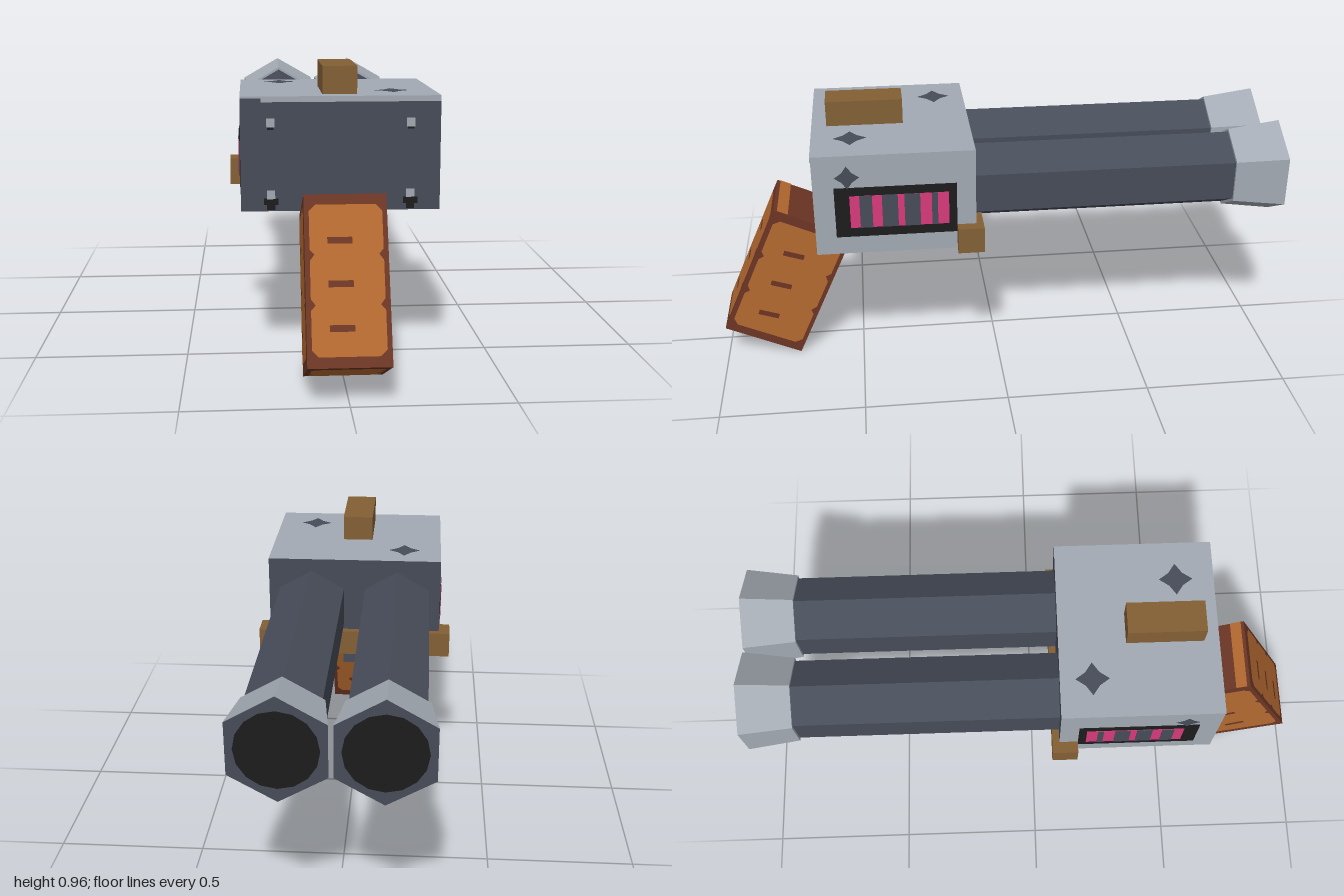
import * as THREE from 'three';

const mat = (name, color) => Object.assign(new THREE.MeshStandardMaterial({ color }), { name });
const M = {
  steel: mat('light steel', 0xa3aab3),
  slate: mat('slate', 0x474c59),
  black: mat('black', 0x1c1c1c),
  pink: mat('glowing pink', 0xd83a7c),
  orange: mat('orange wood', 0xb56a30),
  brown: mat('brown wood', 0x6d3625),
  brass: mat('brass', 0x836035),
};

function add(parent, name, geometry, material) {
  const mesh = new THREE.Mesh(geometry, material);
  mesh.name = name;
  parent.add(mesh);
  return mesh;
}

// Box given by its limits on each axis
function box(parent, name, [x0, x1], [y0, y1], [z0, z1], material) {
  const mesh = add(parent, name, new THREE.BoxGeometry(x1 - x0, y1 - y0, z1 - z0), material);
  mesh.position.set((x0 + x1) / 2, (y0 + y1) / 2, (z0 + z1) / 2);
  return mesh;
}

// Hexagonal tube along z with flat faces
function hexTube(rFront, rBack, z0, z1) {
  const g = new THREE.CylinderGeometry(rFront, rBack, z1 - z0, 6).toNonIndexed();
  g.computeVertexNormals();
  return g.rotateX(Math.PI / 2).translate(0, 0, (z0 + z1) / 2);
}

// Four-pointed wear spot
function spotGeometry(r) {
  const pts = [];
  for (let i = 0; i < 8; i++) {
    const a = i * Math.PI / 4, d = i % 2 ? r * 0.58 : r;
    pts.push(new THREE.Vector2(Math.cos(a) * d, Math.sin(a) * d));
  }
  return new THREE.ShapeGeometry(new THREE.Shape(pts));
}

// Panel with chipped corners and notched long edges
function panelGeometry(w, h) {
  const x = w / 2, y = h / 2, c = 0.02, n = 0.014;
  const edge = [[x - c, -y], [x, -y + c], [x, -h / 5], [x - n, -h / 6], [x, -h / 8],
    [x, h / 8], [x - n, h / 6], [x, h / 5], [x, y - c], [x - c, y]];
  const pts = [...edge, ...edge.map(([px, py]) => [-px, -py])];
  return new THREE.ShapeGeometry(new THREE.Shape(pts.map(p => new THREE.Vector2(...p))));
}

function createBody(root) {
  const body = new THREE.Group();
  body.name = 'receiver';
  root.add(body);
  box(body, 'housing', [-0.315, 0.315], [0.515, 0.878], [0.09, 0.635],
    [M.steel, M.steel, M.steel, M.slate, M.slate, M.slate]);
  box(body, 'frontTopTrim', [-0.25, 0.315], [0.86, 0.878], [0.632, 0.637], M.steel);
  box(body, 'frontTopTrimEnd', [-0.315, -0.25], [0.872, 0.878], [0.632, 0.637], M.steel);
  box(body, 'topSight', [-0.055, 0.055], [0.87, 0.967], [0.32, 0.585], M.brass);
  box(body, 'crossBar', [-0.355, 0.355], [0.513, 0.605], [0.065, 0.155], M.brass);
  box(body, 'trigger', [-0.055, 0.055], [0.38, 0.52], [0.275, 0.5], M.slate);

  // Wear spots on top
  for (const [x, z] of [[-0.18, 0.2], [0.175, 0.505]]) {
    const spot = add(body, 'topSpot', spotGeometry(0.058), M.slate);
    spot.rotation.x = -Math.PI / 2;
    spot.position.set(x, 0.881, z);
  }

  for (const s of [-1, 1]) {
    // Power cell window on each side
    const side = (name, y, z, depth, material) => {
      const xs = [s * 0.31, s * (0.315 + depth)].sort((a, b) => a - b);
      box(body, name, xs, y, z, material);
    };
    side('window', [0.58, 0.762], [0.155, 0.565], 0.003, M.black);
    side('powerCell', [0.614, 0.732], [0.182, 0.515], 0.005, M.pink);
    for (const z of [[0.44, 0.482], [0.354, 0.407], [0.279, 0.332], [0.22, 0.24]])
      side('cellDivider', [0.614, 0.732], z, 0.007, M.slate);

    const spot = add(body, 'sideSpot', spotGeometry(0.042), M.slate);
    spot.rotation.y = s * Math.PI / 2;
    spot.position.set(s * 0.318, 0.8, 0.52);

    // Rivets on the front and underside
    const x = s * 0.22;
    for (const y of [0.795, 0.568])
      box(body, 'frontRivet', [x - 0.013, x + 0.013], [y - 0.014, y + 0.014], [0.632, 0.638], M.steel);
    box(body, 'rivetShadow', [x - 0.01, x + 0.01], [0.774, 0.781], [0.632, 0.638], M.black);
    box(body, 'rivetMark', [x - 0.023, x + 0.023], [0.536, 0.556], [0.632, 0.638], M.black);
    box(body, 'rivetMarkTip', [x - 0.013, x + 0.013], [0.52, 0.536], [0.632, 0.638], M.black);
    const under = add(body, 'undersideSpot', spotGeometry(0.03), M.black);
    under.rotation.x = Math.PI / 2;
    under.position.set(x, 0.512, 0.19);
  }
}

function createBarrel(s) {
  const barrel = new THREE.Group();
  barrel.name = s > 0 ? 'leftBarrel' : 'rightBarrel';
  barrel.position.set(s * 0.157, 0.697, 0);
  add(barrel, 'tube', hexTube(0.1365, 0.1365, -0.83, 0.1), M.slate);
  // Flared muzzle with a dark bore
  add(barrel, 'muzzle', hexTube(0.147, 0.1725, -1, -0.82), [M.steel, M.steel, M.slate]);
  const bore = add(barrel, 'bore', new THREE.CircleGeometry(0.127, 16), M.black);
  bore.rotation.y = Math.PI;
  bore.position.z = -1.002;
  return barrel;
}

function createGrip() {
  const w = 0.252, h = 0.521, d = 0.293, lift = 0.002;
  const grip = new THREE.Group();
  grip.name = 'grip';
  grip.position.set(0, 0.3, 0.76);
  grip.rotation.x = -0.425;
  add(grip, 'gripBlock', new THREE.BoxGeometry(w, h, d), M.brown);

  // Worn panels on the four upright faces
  for (let i = 0; i < 4; i++) {
    const face = new THREE.Group();
    face.name = 'gripFace';
    face.rotation.y = i * Math.PI / 2;
    grip.add(face);
    const faceWidth = i % 2 ? d : w, out = (i % 2 ? w : d) / 2 + lift;
    add(face, 'gripPanel', panelGeometry(faceWidth - 0.03, h - 0.065), M.orange).position.z = out;
    for (const y of [0.118, -0.013, -0.145]) {
      const groove = add(face, 'gripGroove', new THREE.PlaneGeometry(0.075, 0.02), M.brown);
      groove.position.set(-0.02, y, out + lift);
      groove.rotation.z = i % 2 ? 0.1 : 0;
    }
  }
  // Base panel and top strip
  const base = add(grip, 'gripBasePanel', panelGeometry(w - 0.03, d - 0.05), M.orange);
  base.rotation.x = Math.PI / 2;
  base.position.y = -h / 2 - lift;
  const strip = add(grip, 'gripTopStrip', new THREE.PlaneGeometry(w, 0.04), M.orange);
  strip.rotation.x = -Math.PI / 2;
  strip.position.set(0, h / 2 + lift, 0.115);
  return grip;
}

export function createModel() {
  const root = new THREE.Group();
  root.name = 'twinBarrelBlaster';
  createBody(root);
  root.add(createBarrel(1), createBarrel(-1), createGrip());
  return root;
}
